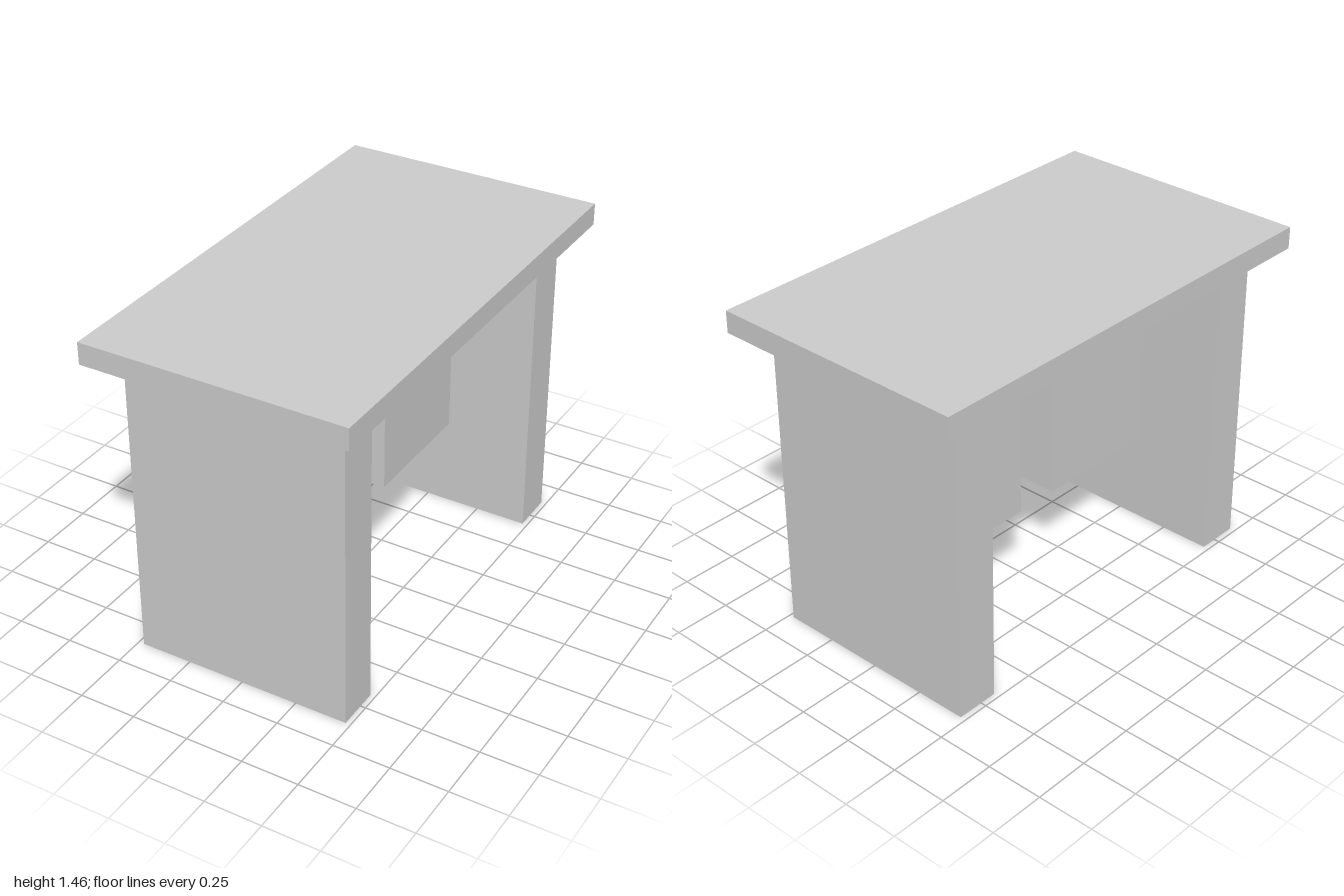
import * as THREE from 'three';

export function createModel() {
  const group = new THREE.Group();
  const material = new THREE.MeshStandardMaterial({ color: 0xcccccc, flatShading: true });

  // Adds a box spanning the given [min, max] ranges.
  const addBox = (name, x, y, z) => {
    const mesh = new THREE.Mesh(
      new THREE.BoxGeometry(x[1] - x[0], y[1] - y[0], z[1] - z[0]), material);
    mesh.position.set((x[0] + x[1]) / 2, (y[0] + y[1]) / 2, (z[0] + z[1]) / 2);
    mesh.name = name;
    group.add(mesh);
  };

  const underside = 1.36;
  addBox('tableTop', [-0.575, 0.575], [underside, 1.455], [-1, 1]);

  // Slab legs, each with an inner panel reaching toward the middle
  for (const [end, s] of [['front', 1], ['back', -1]]) {
    const span = (a, b) => (s > 0 ? [a, b] : [-b, -a]);
    addBox(end + 'Leg', [-0.475, 0.478], [0, underside], span(0.675, 0.865));
    addBox(end + 'InnerPanel', [-0.097, 0.097], [0.403, underside], span(0.097, 0.675));
  }

  // Apron rail under the top, on the left side only
  addBox('apron', [0.265, 0.365], [1.17, underside], [-0.48, 0.48]);

  return group;
}
